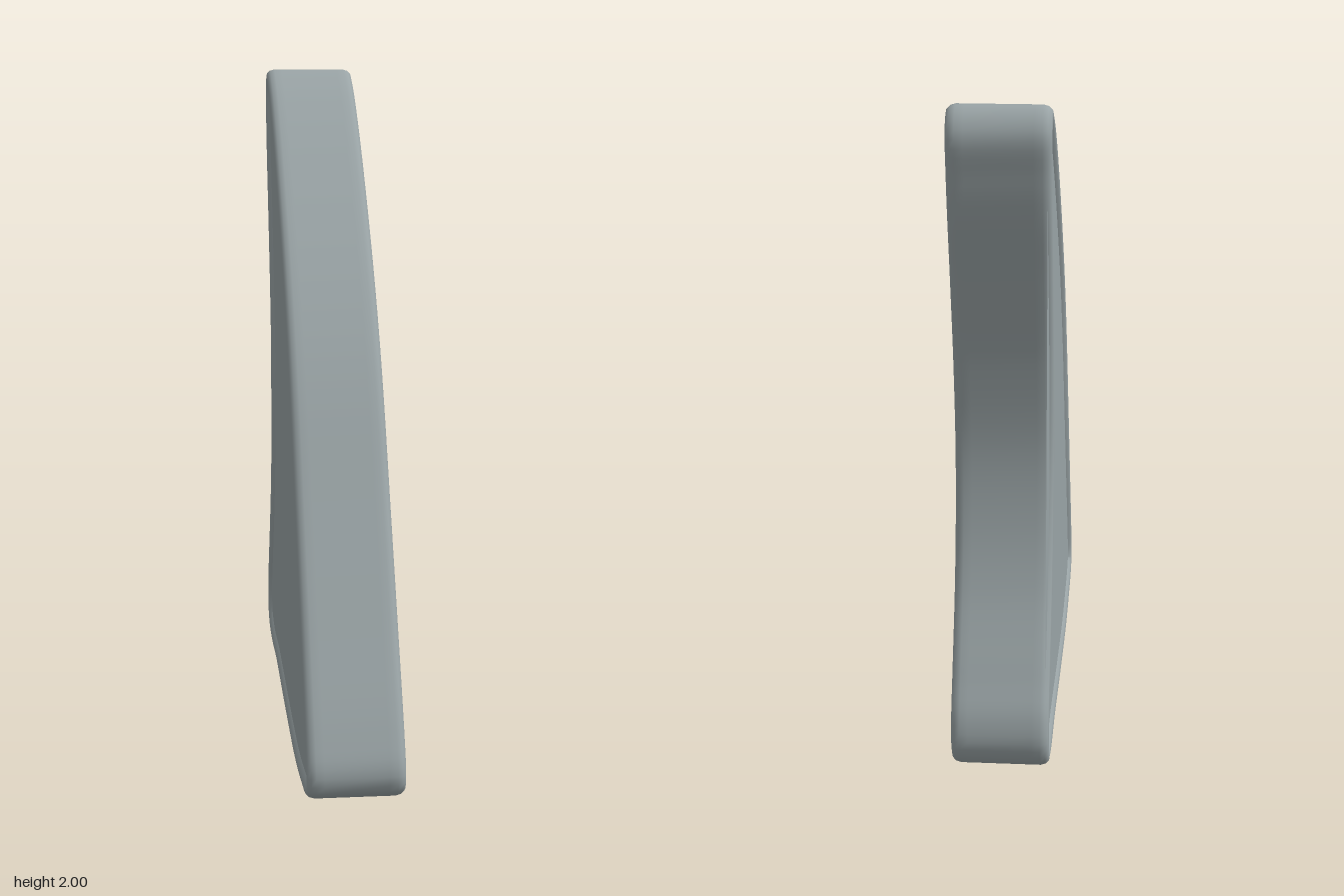
import * as THREE from 'three';

const COLOR = 0x9aa4a6;
const mat = new THREE.MeshStandardMaterial({ color: COLOR });
const thinMat = new THREE.MeshStandardMaterial({ color: COLOR, side: THREE.DoubleSide });

// Fin outline as [-z, y], clockwise from the tip
const OUTLINE = [
  [0.71, 2.0], [0.76, 1.94], [0.747, 1.82], [0.725, 1.715], [0.665, 1.505], [0.6, 1.25],
  [0.567, 1.0], [0.582, 0.79], [0.63, 0.6], [0.725, 0.38], [0.772, 0.27], [0.778, 0.18],
  [0.735, 0.115], [0.63, 0.08], [0.415, 0.073], [0.285, 0.06], [0.02, 0.03], [-0.35, 0.002],
  [-0.565, 0.013], [-0.715, 0.034], [-0.774, 0.072], [-0.78, 0.125], [-0.74, 0.22],
  [-0.59, 0.485], [-0.405, 0.805], [-0.245, 1.08], [-0.13, 1.25], [0.02, 1.435], [0.23, 1.655],
  [0.445, 1.85], [0.6, 1.96],
];
const N = 240;
const SIDE = 0.126; // distance of the side panels from the middle plane
const curve = new THREE.CatmullRomCurve3(OUTLINE.map(([s, y]) => new THREE.Vector3(s, y, 0)), true, 'centripetal');

// Outline shrunk inwards by a given distance
function ring(inset) {
  return Array.from({ length: N }, (_, i) => {
    const p = curve.getPointAt(i / N), t = curve.getTangentAt(i / N);
    return new THREE.Vector2(p.x + t.y * inset, p.y - t.x * inset);
  });
}

// Outer wall with a rounded lip on both sides
function rimGeometry() {
  const half = [[0.045, SIDE], [0.036, 0.134], [0.025, 0.138], [0.013, 0.136], [0.004, 0.127], [0, 0.113], [0, 0.09]];
  const profile = [...half, ...half.slice().reverse().map(([d, x]) => [d, -x])];
  const pos = [], index = [];
  profile.forEach(([inset, x], j) => {
    ring(inset).forEach((p, i) => {
      pos.push(x, p.y, -p.x);
      if (j === profile.length - 1) return;
      const a = j * N + i, b = j * N + (i + 1) % N;
      index.push(a, b, a + N, b, b + N, a + N);
    });
  });
  const g = new THREE.BufferGeometry();
  g.setAttribute('position', new THREE.Float32BufferAttribute(pos, 3));
  g.setIndex(index);
  g.computeVertexNormals();
  return g;
}

// Flat sheet in the plane of the fin
function sheet(name, points, x) {
  const g = new THREE.ShapeGeometry(new THREE.Shape(points));
  g.rotateY(Math.PI / 2).translate(x, 0, 0);
  const m = new THREE.Mesh(g, thinMat);
  m.name = name;
  return m;
}

export function createModel() {
  const group = new THREE.Group();
  group.name = 'fin';

  const rim = new THREE.Mesh(rimGeometry(), mat);
  rim.name = 'rim';
  group.add(rim);

  // Side panels set just inside the lip
  const inner = ring(0.045);
  group.add(sheet('leftPanel', inner, SIDE), sheet('rightPanel', inner, -SIDE));

  // Thin web closing the concave back edge on one side
  const notch = inner.filter((p) => p.x > 0.5 && p.y > 0.4 && p.y < 1.69);
  const web = [new THREE.Vector2(0.725, 1.73), ...notch, new THREE.Vector2(0.725, 0.37)];
  group.add(sheet('backWeb', web, -SIDE));

  return group;
}
